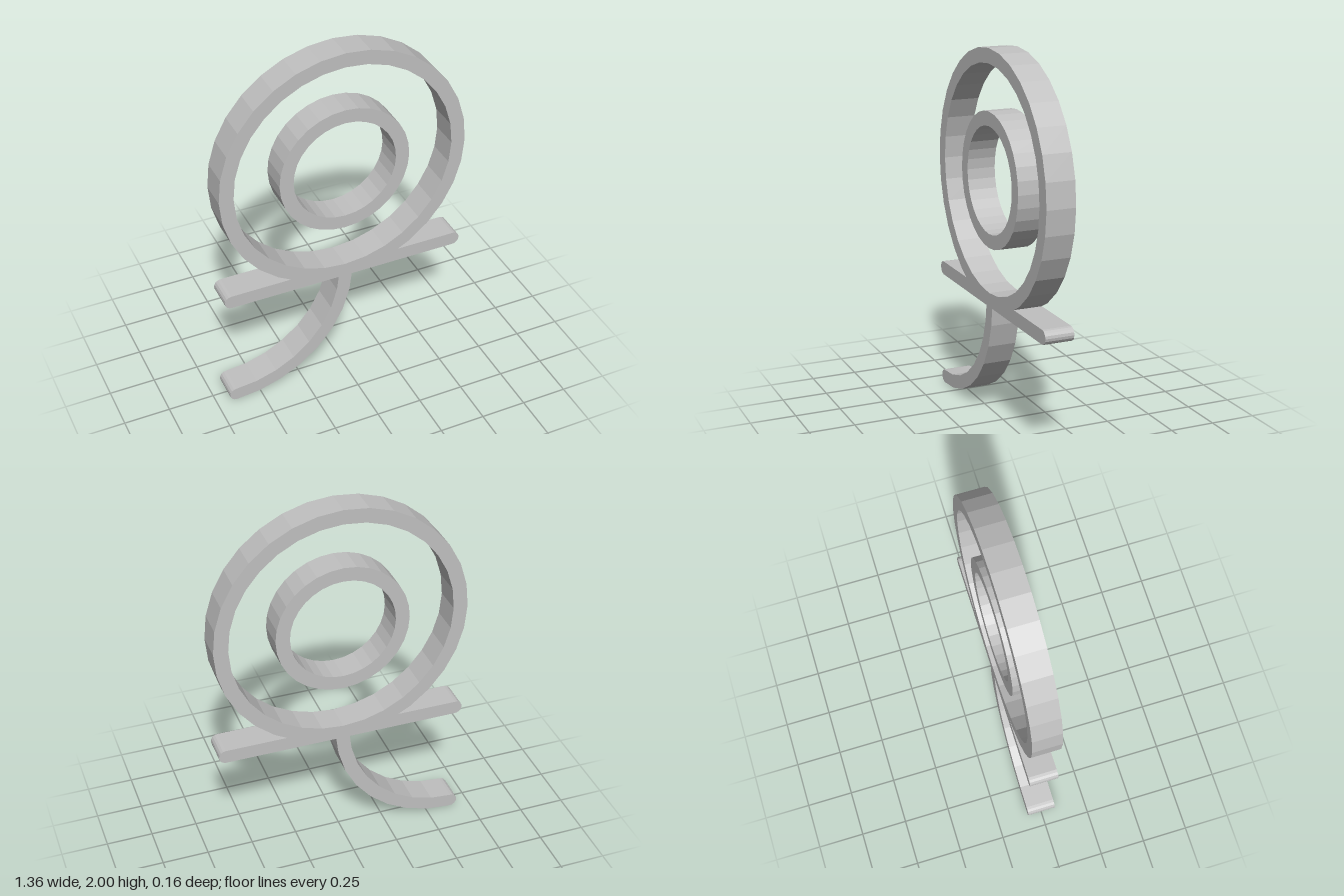
import * as THREE from 'three';

const DEPTH = 0.156;      // thickness along z
const HALF = 0.0377;      // half the width of every band
const RING_Y = 1.3215;    // shared centre of both rings
const BAR_Y = 0.6825;
const STEP = Math.PI / 16; // 32-sided circles

// Points on an arc, from angle a to angle b
function arc(cx, cy, r, a, b, n) {
  return Array.from({ length: n + 1 }, (_, i) => {
    const t = a + (b - a) * i / n;
    return new THREE.Vector2(cx + r * Math.cos(t), cy + r * Math.sin(t));
  });
}

const circle = (r) => arc(0, RING_Y, r, 0, 31 * STEP, 31);

export function createModel() {
  const group = new THREE.Group();
  const grey = new THREE.MeshStandardMaterial({ color: 0xc0c0c0, flatShading: true });
  grey.name = 'light grey';

  // Flat outline with optional hole, extruded evenly about z = 0
  function addPlate(name, outline, hole) {
    const shape = new THREE.Shape(outline);
    if (hole) shape.holes.push(new THREE.Path(hole));
    const geo = new THREE.ExtrudeGeometry(shape, { depth: DEPTH, bevelEnabled: false, steps: 1 });
    geo.translate(0, 0, -DEPTH / 2);
    const mesh = new THREE.Mesh(geo, grey);
    mesh.name = name;
    group.add(mesh);
  }

  // Outer ring fused with the round-ended crossbar below it
  const top = BAR_Y + HALF, capX = 0.678 - HALF, joinX = 0.309;
  addPlate('outerRingAndCrossbar', [
    ...arc(capX, BAR_Y, HALF, -Math.PI / 2, Math.PI / 2, 8),
    new THREE.Vector2(joinX, top),
    ...arc(0, RING_Y, 0.6785, -5 * STEP, 21 * STEP, 26),
    new THREE.Vector2(-joinX, top),
    ...arc(-capX, BAR_Y, HALF, Math.PI / 2, Math.PI * 1.5, 8),
  ], circle(0.601));

  // Free inner ring
  addPlate('innerRing', circle(0.358), circle(0.2825));

  // Curved tail: a quarter arc hanging from the crossbar, with a round tip
  const cx = -0.6405, cy = 0.68, r = 0.6423, start = BAR_Y - HALF;
  const edgeX = (radius) => cx + Math.sqrt(radius ** 2 - (cy - start) ** 2);
  const outer = arc(cx, cy, r + HALF, -STEP, -Math.PI / 2, 7);
  const inner = arc(cx, cy, r - HALF, -Math.PI / 2, -STEP, 7);
  const tip = arc(cx, cy - r, HALF, -Math.PI / 2, -Math.PI * 1.5, 8).slice(1, -1);
  addPlate('tail', [
    new THREE.Vector2(edgeX(r + HALF), start),
    ...outer, ...tip, ...inner,
    new THREE.Vector2(edgeX(r - HALF), start),
  ]);

  return group;
}
